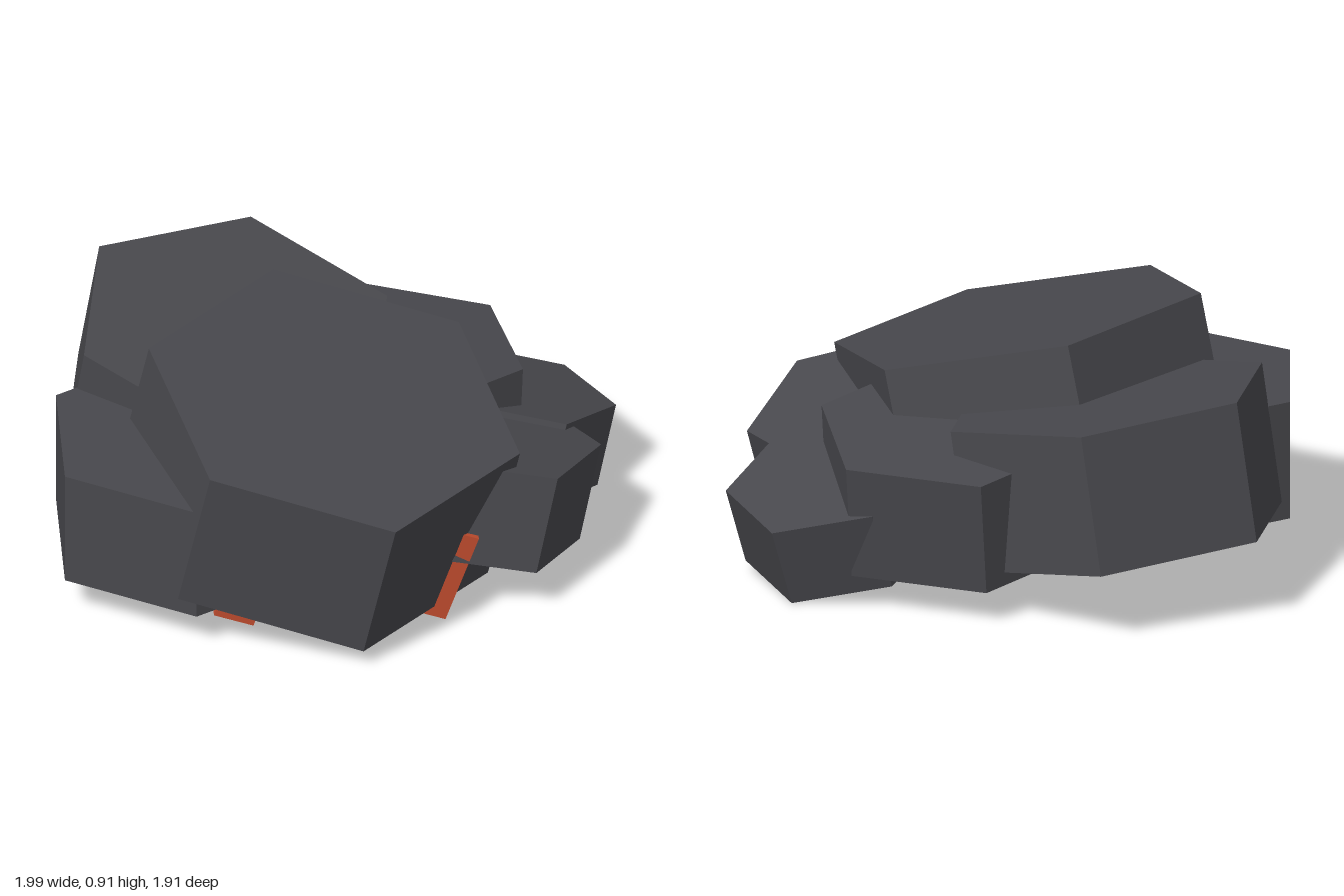
import * as THREE from 'three';

const stone = new THREE.MeshStandardMaterial({ color: 0x48484d });
stone.name = 'dark stone';
const rust = new THREE.MeshStandardMaterial({ color: 0xc04c2e });
rust.name = 'rust orange';

// Six-sided slab: centre of its top face, one top corner, and the vector from top to bottom
function hexSlab(name, top, corner, down) {
  const c = new THREE.Vector3(...top);
  const d = new THREE.Vector3(...down);
  const y = d.clone().negate().normalize();
  const z = new THREE.Vector3(...corner).sub(c);
  const radius = z.length();
  z.addScaledVector(y, -z.dot(y)).normalize();
  const x = new THREE.Vector3().crossVectors(y, z);

  // separate corners per face keep the edges sharp
  const geo = new THREE.CylinderGeometry(radius, radius, d.length(), 6).toNonIndexed();
  geo.computeVertexNormals();
  geo.applyMatrix4(new THREE.Matrix4().makeBasis(x, y, z).setPosition(c.addScaledVector(d, 0.5)));
  const mesh = new THREE.Mesh(geo, stone);
  mesh.name = name;
  return mesh;
}

// Thin leaning plate half sunk in the front slab
function plate(name, x) {
  const mesh = new THREE.Mesh(new THREE.BoxGeometry(0.148, 0.356, 0.03), rust);
  mesh.name = name;
  mesh.position.set(x, 0.193, 0.555);
  mesh.rotation.z = -0.339;
  return mesh;
}

export function createModel() {
  const group = new THREE.Group();
  group.name = 'rockPile';
  group.add(
    // large tilted slab on top at the front
    hexSlab('frontSlab', [-0.037, 0.76, 0.297], [0.14, 0.62, 0.94], [-0.108, -0.56, -0.09]),
    // level slab at the right-hand side
    hexSlab('rightSlab', [-0.55, 0.58, 0.19], [-0.55, 0.58, 0.71], [0, -0.44, 0]),
    // tall slab at the back
    hexSlab('backSlab', [-0.35, 0.69, -0.31], [-0.81, 0.81, -0.67], [-0.07, -0.5, -0.07]),
    // middle slab at the back left
    hexSlab('backLeftSlab', [0.18, 0.59, -0.3], [0.57, 0.53, -0.62], [-0.02, -0.42, 0.05]),
    // small outer slabs on the left
    hexSlab('outerLeftSlab', [0.64, 0.4, -0.31], [1.0, 0.35, -0.28], [-0.07, -0.29, 0.07]),
    hexSlab('frontLeftSlab', [0.49, 0.51, 0.125], [0.92, 0.41, 0.1], [-0.08, -0.35, 0.07]),
    plate('leftPlate', 0.329),
    plate('rightPlate', -0.351)
  );
  return group;
}
